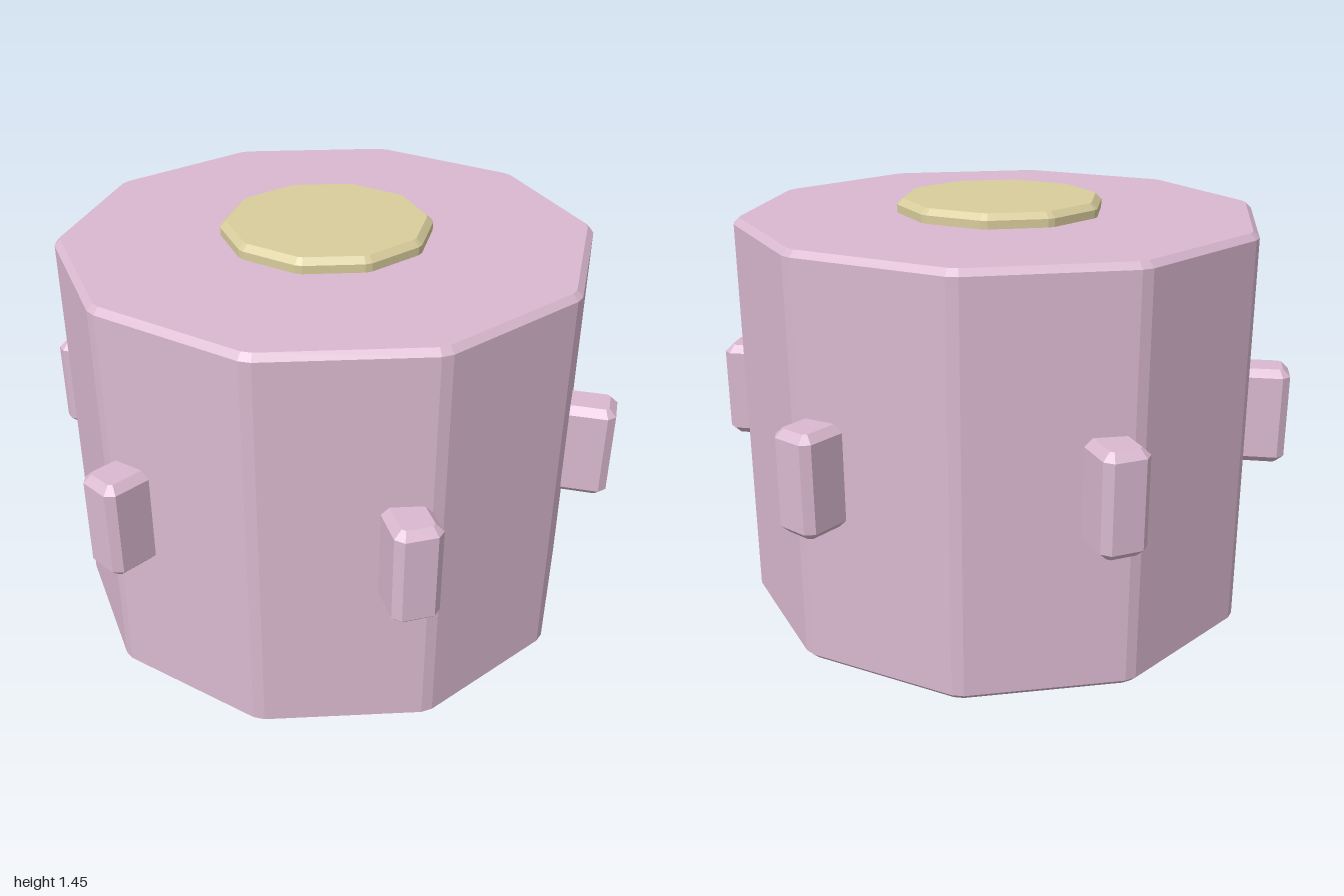
import * as THREE from 'three';

const pink = new THREE.MeshStandardMaterial({ name: 'dusty pink', color: 0xd9b8cf });
const straw = new THREE.MeshStandardMaterial({ name: 'pale straw', color: 0xd8cd9c });

// Upright prism with every edge chamfered: corners are cut, then the ends are bevelled.
function chamferedPrism(corners, cut, y0, y1, bevel) {
  const outline = [];
  corners.forEach((p, i) => {
    const prev = corners.at(i - 1);
    const next = corners[(i + 1) % corners.length];
    for (const q of [prev, next]) {
      outline.push(p.clone().add(q.clone().sub(p).setLength(cut)));
    }
  });
  const geometry = new THREE.ExtrudeGeometry(new THREE.Shape(outline), {
    depth: y1 - y0 - 2 * bevel,
    bevelEnabled: true,
    bevelSegments: 1,
    bevelSize: bevel,
    bevelOffset: -bevel,
    bevelThickness: bevel,
  });
  return geometry.rotateX(-Math.PI / 2).translate(0, y0 + bevel, 0);
}

// Ten corners, with one pointing to the front and one to the back.
function decagon(radius) {
  return Array.from({ length: 10 }, (_, i) => {
    const a = Math.PI / 2 + (i * Math.PI) / 5;
    return new THREE.Vector2(radius * Math.cos(a), radius * Math.sin(a));
  });
}

function rectangle(x0, x1, halfWidth) {
  return [[x0, -halfWidth], [x1, -halfWidth], [x1, halfWidth], [x0, halfWidth]]
    .map(([x, y]) => new THREE.Vector2(x, y));
}

export function createModel() {
  const model = new THREE.Group();
  model.name = 'peggedDrum';

  function add(name, geometry, material) {
    const mesh = new THREE.Mesh(geometry, material);
    mesh.name = name;
    model.add(mesh);
    return mesh;
  }

  // Ten-sided drum
  add('drum', chamferedPrism(decagon(0.892), 0.02, 0.048, 1.405, 0.02), pink);

  // Core showing at both ends of the drum
  add('core', chamferedPrism(decagon(0.352), 0.012, 0, 1.452, 0.02), straw);

  // Six pegs around the middle
  const pegGeometry = chamferedPrism(rectangle(0.76, 1, 0.076), 0.025, 0.558, 0.895, 0.025);
  for (let i = 0; i < 6; i++) {
    add(`peg${i + 1}`, pegGeometry, pink).rotation.y = (i * Math.PI) / 3;
  }

  return model;
}
